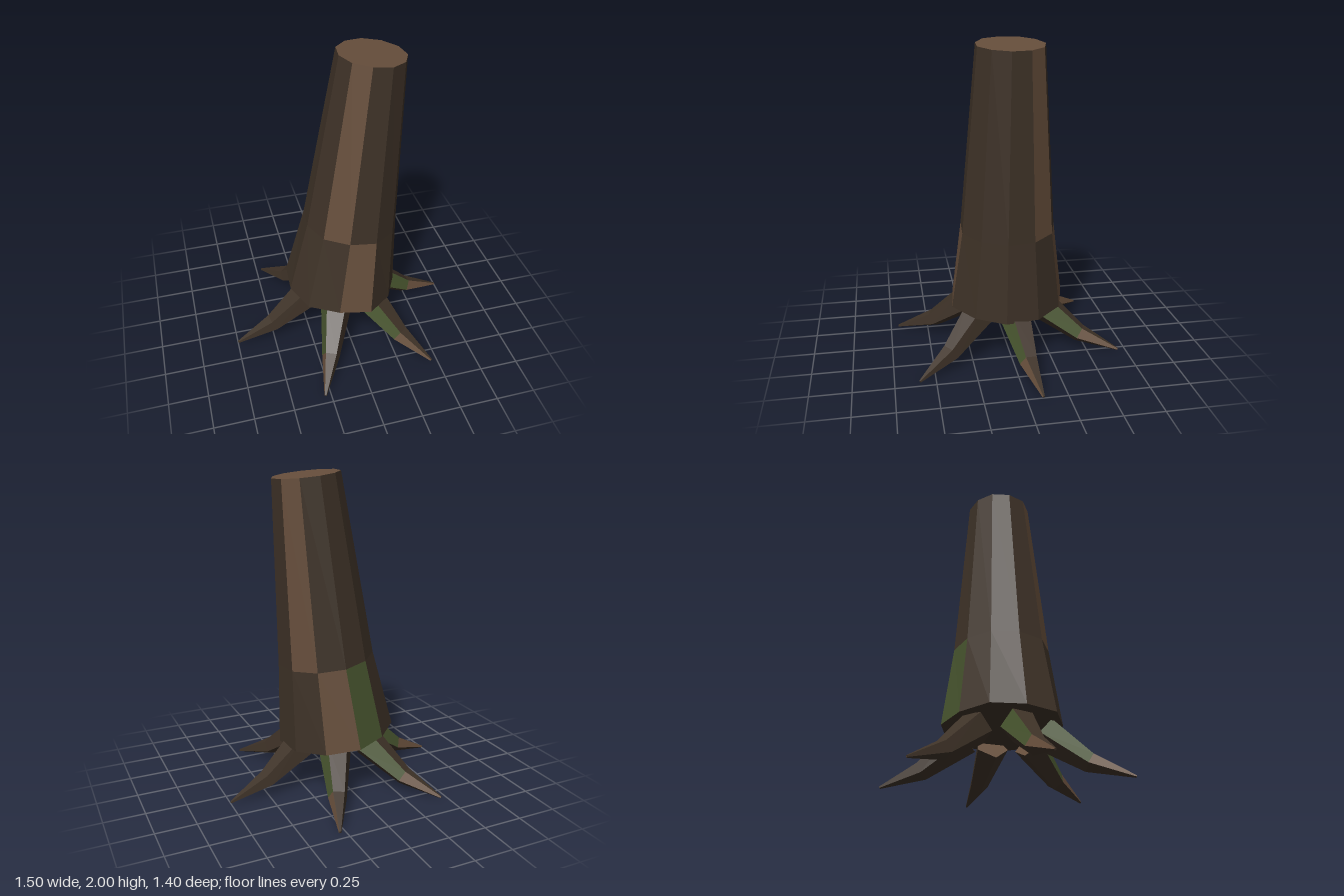
import * as THREE from 'three';

const paint = (name, color) => {
  const m = new THREE.MeshStandardMaterial({ color });
  m.name = name;
  return m;
};

// Joins rings of points into a faceted solid with flat ends.
// pick(segment, side) gives a material index; ends are 'start' and 'end' segments.
function loft(rings, pick, materials) {
  const faces = materials.map(() => []);
  const n = rings[0].length;
  const add = (m, ...points) => points.forEach((p) => faces[m].push(p.x, p.y, p.z));
  const centre = (ring) => ring.reduce((s, p) => s.add(p), new THREE.Vector3()).divideScalar(n);
  const first = rings[0], last = rings[rings.length - 1];
  const c0 = centre(first), c1 = centre(last);
  for (let i = 0; i < n; i++) {
    const j = (i + 1) % n;
    for (let s = 0; s < rings.length - 1; s++) {
      const a = rings[s][i], b = rings[s][j], c = rings[s + 1][j], d = rings[s + 1][i];
      add(pick(s, i), a, d, c, a, c, b);
    }
    add(pick('start', i), c0, first[i], first[j]);
    add(pick('end', i), c1, last[j], last[i]);
  }
  const geometry = new THREE.BufferGeometry();
  geometry.setAttribute('position', new THREE.Float32BufferAttribute(faces.flat(), 3));
  let start = 0;
  faces.forEach((f, m) => {
    geometry.addGroup(start, f.length / 3, m);
    start += f.length / 3;
  });
  geometry.computeVertexNormals();
  return new THREE.Mesh(geometry, materials);
}

export function createModel() {
  const model = new THREE.Group();
  const materials = [
    paint('dark bark', 0x3e3227),
    paint('light wood', 0x664e3b),
    paint('moss', 0x47542e),
  ];
  const DARK = 0, LIGHT = 1, MOSS = 2;

  // Leaning eleven-sided trunk with tilted rings and slightly uneven base
  const sides = 11;
  const uneven = [0, -0.01, 0.012, -0.015, 0.012, 0, 0.015, -0.005, 0.015, 0.012, 0.005];
  const trunkRing = (cx, cy, r, tilt, wobble) => uneven.map((u, i) => {
    const a = THREE.MathUtils.degToRad(7.6) + (i * 2 * Math.PI) / sides;
    const x = Math.cos(a) * (r + u * wobble);
    return new THREE.Vector3(cx + x, cy - tilt * x, Math.sin(a) * (r + u * wobble));
  });
  const patches = { '0-2': LIGHT, '0-8': LIGHT, '0-7': MOSS, '1-3': LIGHT, '1-9': LIGHT };
  const trunk = loft(
    [
      trunkRing(0, 0.33, 0.365, 0.11, 1),
      trunkRing(0.065, 0.838, 0.3, 0.1, 0.4),
      trunkRing(0.185, 1.977, 0.207, 0.11, 0.2),
    ],
    (s, i) => (s === 'end' ? LIGHT : patches[`${s}-${i}`] ?? DARK),
    materials,
  );
  trunk.name = 'trunk';
  model.add(trunk);

  // Six five-sided roots, bent once and tapering to the ground
  const rootRing = (out, y, r, slope) => Array.from({ length: 5 }, (_, i) => {
    const a = THREE.MathUtils.degToRad(-12 + i * 72);
    const up = Math.sin(a) * r;
    return new THREE.Vector3(out + up * Math.sin(slope), y + up * Math.cos(slope), Math.cos(a) * r);
  });
  const rootRings = [
    rootRing(0.24, 0.285, 0.105, 0.63),
    rootRing(0.5, 0.1, 0.06, 0.47),
    rootRing(0.755, 0.01, 0.008, 0.35),
  ];
  const rootColour = (s, i) => {
    if (s === 'start') return LIGHT;
    if (i === 0) return s === 0 ? MOSS : LIGHT;
    return DARK;
  };
  for (let k = 0; k < 6; k++) {
    const root = loft(rootRings, rootColour, materials);
    root.name = `root${k + 1}`;
    root.rotation.y = THREE.MathUtils.degToRad(7.6 - k * 60);
    model.add(root);
  }

  return model;
}
